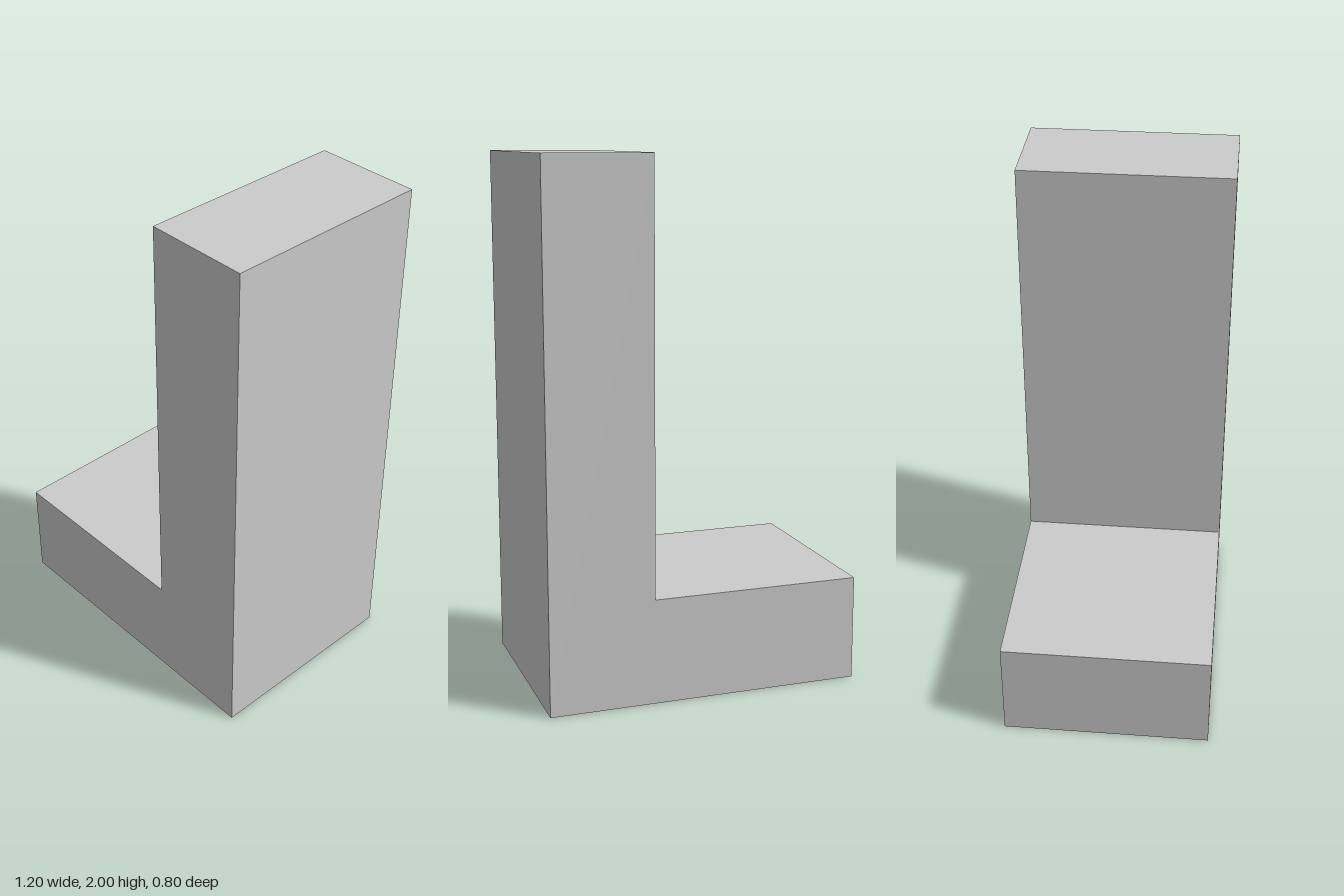
import * as THREE from 'three';

export function createModel() {
  const group = new THREE.Group();
  group.name = 'lShapedBlock';

  // L-shaped profile: low foot towards -x, tall upright at +x
  const profile = new THREE.Shape([
    [-0.6, 0], [0.6, 0], [0.6, 2], [0.2, 2], [0.2, 0.4], [-0.6, 0.4],
  ].map(([x, y]) => new THREE.Vector2(x, y)));

  // Extruded through the depth and centred on z
  const depth = 0.8;
  const geometry = new THREE.ExtrudeGeometry(profile, { depth, bevelEnabled: false });
  geometry.translate(0, 0, -depth / 2);

  const material = new THREE.MeshStandardMaterial({ color: 0xcccccc, flatShading: true });
  const block = new THREE.Mesh(geometry, material);
  block.name = 'footAndUpright';
  group.add(block);
  return group;
}
